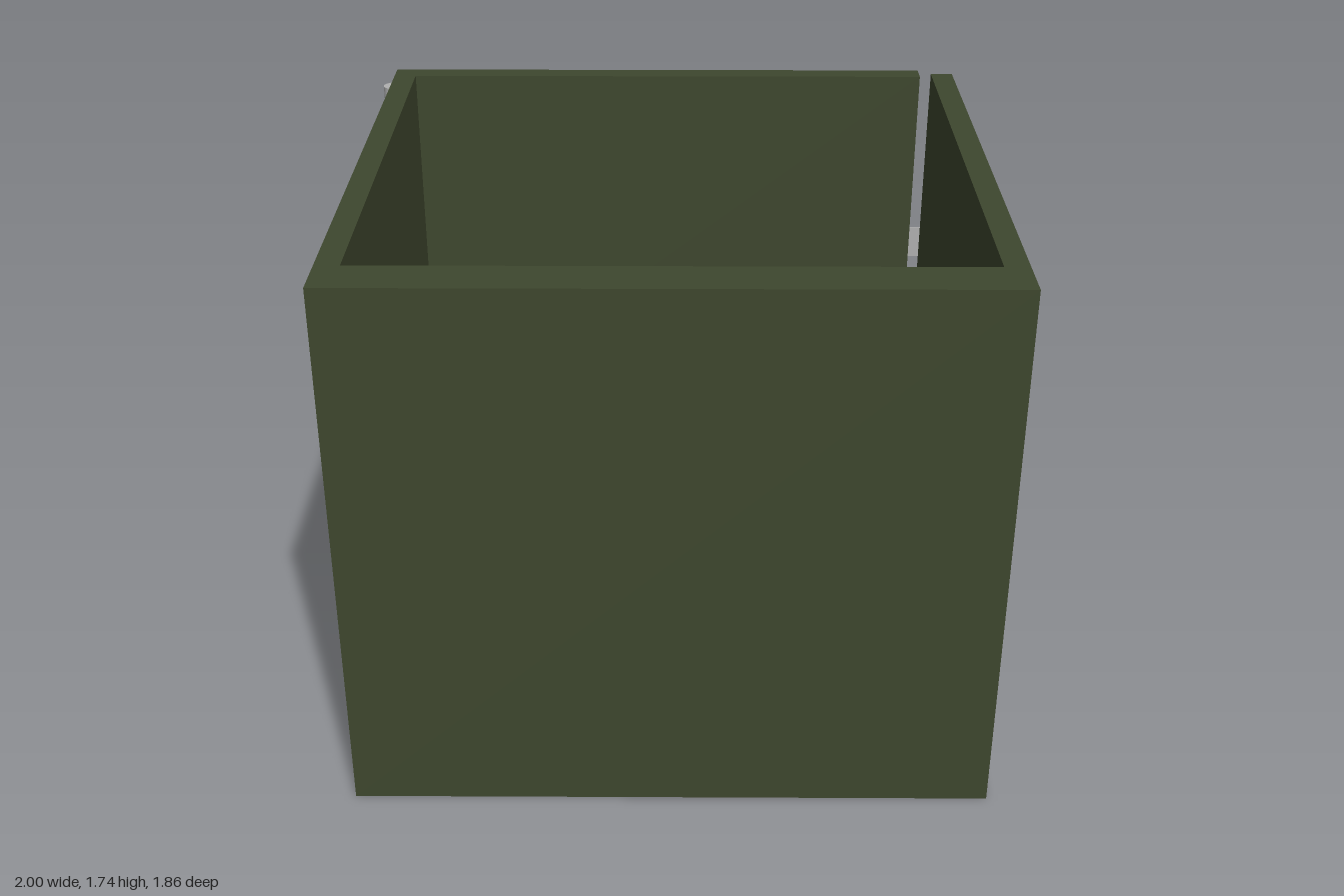
import * as THREE from 'three';

export function createModel() {
  const model = new THREE.Group();
  const green = new THREE.MeshStandardMaterial({ color: 0x3e472e });
  green.name = 'olive green paint';
  const metal = new THREE.MeshStandardMaterial({ color: 0xb0b0b0 });
  metal.name = 'grey metal';

  const add = (name, geometry, material) => {
    const mesh = new THREE.Mesh(geometry, material);
    mesh.name = name;
    model.add(mesh);
    return mesh;
  };
  // Box given by its lower and upper corners
  const box = (name, material, [x0, y0, z0], [x1, y1, z1]) =>
    add(name, new THREE.BoxGeometry(x1 - x0, y1 - y0, z1 - z0), material)
      .position.set((x0 + x1) / 2, (y0 + y1) / 2, (z0 + z1) / 2);

  const top = 1.738, legHeight = 0.305;

  // Thick front wall reaching the ground
  box('frontWall', green, [-0.96, 0, 0.78], [1, top, 0.928]);

  // Side walls, each with a leg cut at the back
  const side = new THREE.Shape([
    [-0.78, legHeight], [0.73, legHeight], [0.73, 0],
    [0.88, 0], [0.88, top], [-0.78, top],
  ].map(([z, y]) => new THREE.Vector2(z, y)));
  for (const [name, x] of [['rightWall', -0.96], ['leftWall', 0.926]]) {
    const geometry = new THREE.ExtrudeGeometry(side, { depth: 0.074, bevelEnabled: false });
    geometry.rotateY(Math.PI / 2);
    add(name, geometry, green).position.x = x;
  }

  // Hinged door across the back, with a narrow gap at its free edge
  box('door', green, [-0.96, legHeight, -0.919], [0.884, top, -0.848]);

  // Latch plate bridging the gap
  box('latch', metal, [0.694, 1.02, -0.929], [0.98, 1.135, -0.923]);

  // Hinge barrels
  for (const [name, y] of [['upperHinge', 1.59], ['lowerHinge', 0.532]]) {
    add(name, new THREE.CylinderGeometry(0.036, 0.036, 0.226, 24), metal)
      .position.set(-0.964, y, -0.845);
  }
  return model;
}
